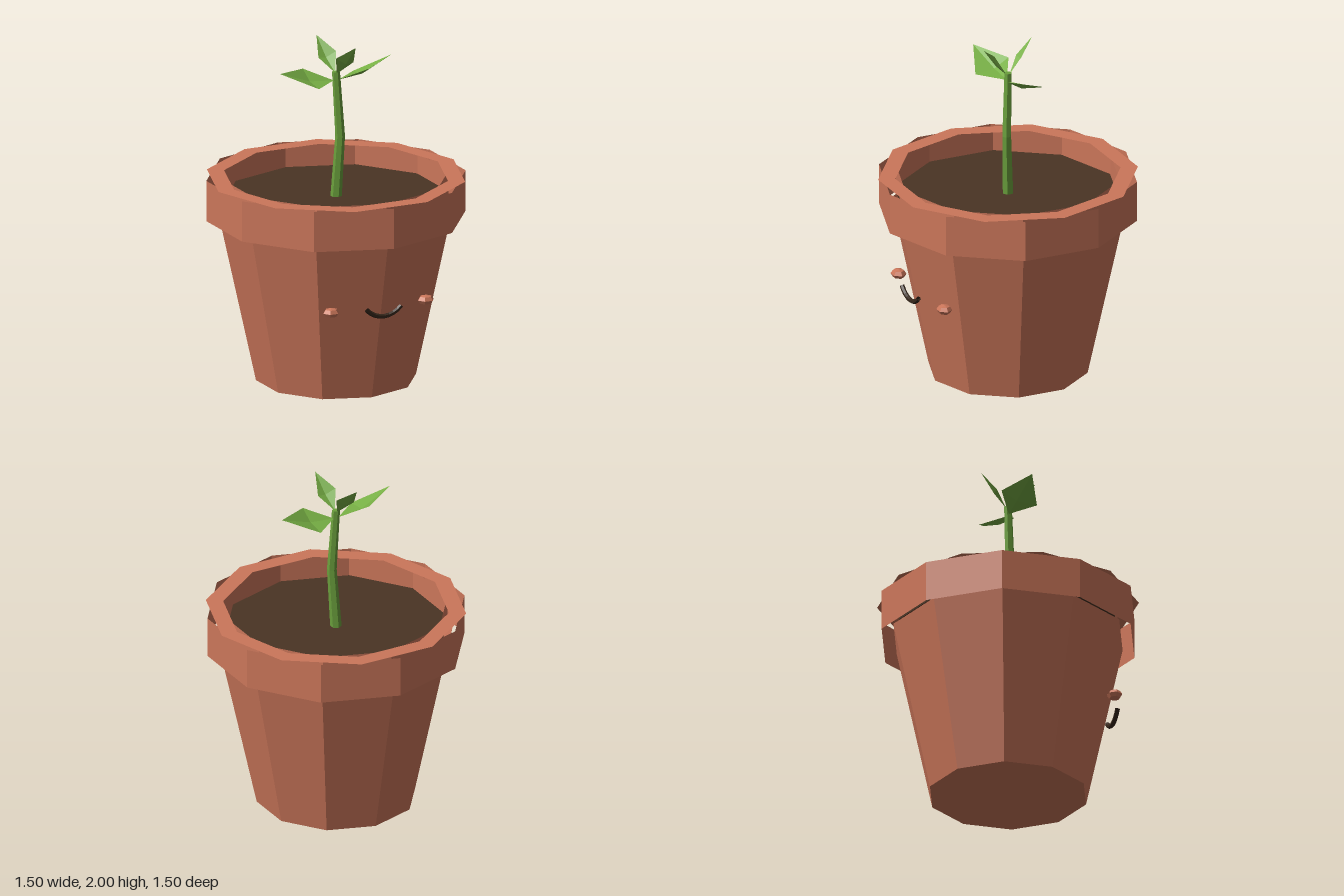
import * as THREE from 'three';

function flat(name, color) {
  const m = new THREE.MeshStandardMaterial({ color, flatShading: true, side: THREE.DoubleSide });
  m.name = name;
  return m;
}

export function createModel() {
  const model = new THREE.Group();
  model.name = 'pottedSprout';
  const terracotta = flat('terracotta', 0xcb765a);
  const earth = flat('earth', 0x4a3424);
  const stemGreen = flat('stemGreen', 0x6a9f3c);
  const leafGreen = flat('leafGreen', 0x78b045);
  const ink = flat('ink', 0x36271b);

  const add = (name, geometry, material, x = 0, y = 0, z = 0) => {
    const mesh = new THREE.Mesh(geometry, material);
    mesh.name = name;
    mesh.position.set(x, y, z);
    model.add(mesh);
    return mesh;
  };
  // Ten-sided wall between two heights, open at both ends
  const wall = (name, rTop, rBottom, y0, y1) =>
    add(name, new THREE.CylinderGeometry(rTop, rBottom, y1 - y0, 10, 1, true), terracotta, 0, (y0 + y1) / 2);

  // Pot
  wall('potBody', 0.68, 0.463, 0, 1.0);
  add('potBase', new THREE.CircleGeometry(0.463, 10).rotateX(Math.PI / 2).rotateY(Math.PI / 2), terracotta);
  wall('rimOuter', 0.75, 0.75, 0.96, 1.2);
  wall('rimInner', 0.65, 0.65, 1.06, 1.2);
  // The rim's top face is turned half a side against the wall
  add('rimTop', new THREE.RingGeometry(0.65, 0.75, 10).rotateX(-Math.PI / 2), terracotta, 0, 1.2);
  add('soil', new THREE.CylinderGeometry(0.648, 0.648, 0.05, 10), earth, 0, 1.055);

  // Face
  for (const side of [-1, 1]) {
    const cheek = new THREE.SphereGeometry(1, 6, 4).scale(0.05, 0.029, 0.045);
    add(side > 0 ? 'leftCheek' : 'rightCheek', cheek, terracotta, side * 0.302, 0.566, 0.55);
  }
  const arc = 1.7;
  add('smile', new THREE.TorusGeometry(0.146, 0.014, 6, 8, arc).rotateZ(-Math.PI / 2 - arc / 2),
    ink, 0, 0.671, 0.62);

  // Stem, bent at its middle ring
  const stem = new THREE.CylinderGeometry(0.023, 0.033, 0.75, 6, 2);
  const p = stem.attributes.position;
  for (let i = 0; i < p.count; i++) {
    if (Math.abs(p.getY(i)) < 0.01) p.setXYZ(i, p.getX(i) + 0.018, -0.005, p.getZ(i) + 0.017);
  }
  stem.computeVertexNormals();
  add('stem', stem, stemGreen, 0, 1.445);

  // Leaf folded along its spine: base, side, tip, side, spine middle
  const leaf = (name, points, turn) => {
    const g = new THREE.BufferGeometry();
    g.setAttribute('position', new THREE.Float32BufferAttribute(points.flat(), 3));
    g.setIndex([0, 4, 1, 1, 4, 2, 2, 4, 3, 3, 4, 0]);
    const split = g.toNonIndexed();
    split.computeVertexNormals();
    add(name, split, leafGreen).rotation.y = turn;
  };
  const bigLeaf = [[0.015, 1.77, 0], [0.17, 1.77, -0.125], [0.377, 1.865, -0.04], [0.17, 1.838, 0.085], [0.17, 1.785, -0.005]];
  const smallLeaf = [[0, 1.81, 0.01], [0.07, 1.89, 0.085], [0.04, 2.0, 0.172], [-0.035, 1.92, 0.07], [0.02, 1.885, 0.088]];
  for (const [i, end] of ['A', 'B'].entries()) {
    leaf('bigLeaf' + end, bigLeaf, i * Math.PI);
    leaf('smallLeaf' + end, smallLeaf, i * Math.PI);
  }
  return model;
}
